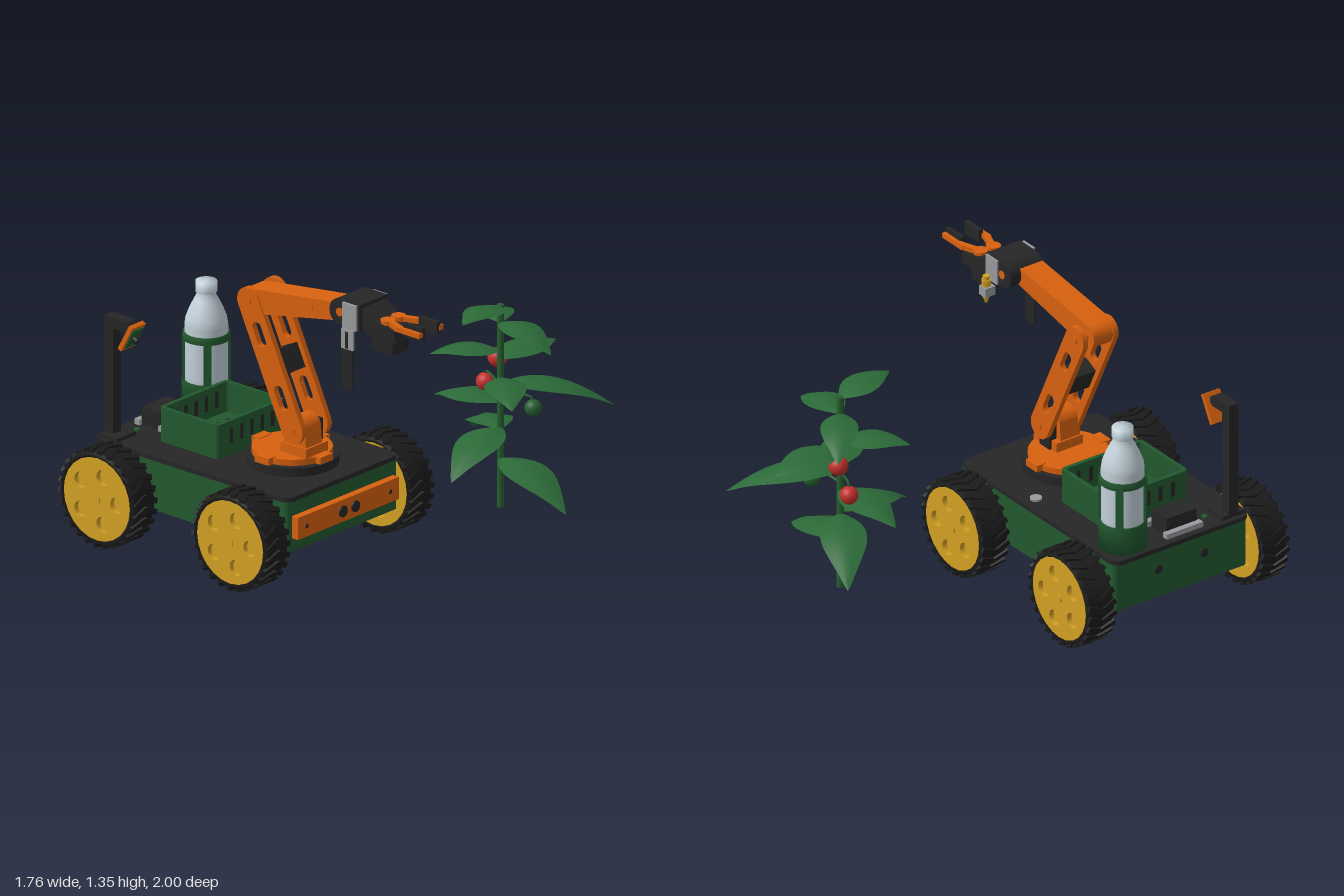
import * as THREE from 'three';
import { mergeGeometries } from 'three/addons/utils/BufferGeometryUtils.js';

const mat = (name, color, side = THREE.FrontSide) => {
  const m = new THREE.MeshStandardMaterial({ color, side });
  m.name = name;
  return m;
};

export function createModel() {
  const green = mat('bodyGreen', 0x22592f), orange = mat('orange', 0xd8610f);
  const black = mat('black', 0x262627), rubber = mat('rubber', 0x1b1b1c);
  const yellow = mat('wheelYellow', 0xd3a023), white = mat('bottleWhite', 0xc2d0d8);
  const grey = mat('metalGrey', 0x98999c), red = mat('fruitRed', 0xc3302b);
  const leafGreen = mat('leafGreen', 0x2b6a38, THREE.DoubleSide);
  const stemGreen = mat('stemGreen', 0x265f30);
  const root = new THREE.Group();
  const CZ = 0.43; // middle plane of the rover

  const add = (name, geo, m, parent = root) => {
    const mesh = new THREE.Mesh(geo, m);
    mesh.name = name;
    parent.add(mesh);
    return mesh;
  };
  const group = (name) => {
    const g = new THREE.Group();
    g.name = name;
    root.add(g);
    return g;
  };
  // box given by its limits on each axis
  const box = (name, m, x0, x1, y0, y1, z0, z1, parent = root) => {
    const b = add(name, new THREE.BoxGeometry(x1 - x0, y1 - y0, z1 - z0), m, parent);
    b.position.set((x0 + x1) / 2, (y0 + y1) / 2, (z0 + z1) / 2);
    return b;
  };
  // cylinder along axis 'x', 'y' or 'z'
  const cyl = (name, m, r, len, x, y, z, axis = 'y', parent = root, seg = 32) => {
    const g = new THREE.CylinderGeometry(r, r, len, seg);
    if (axis === 'z') g.rotateX(Math.PI / 2);
    if (axis === 'x') g.rotateZ(Math.PI / 2);
    const c = add(name, g, m, parent);
    c.position.set(x, y, z);
    return c;
  };
  const roundRect = (x0, x1, y0, y1, r, S = THREE.Shape) => {
    const s = new S();
    s.absarc(x1 - r, y1 - r, r, 0, Math.PI / 2);
    s.absarc(x0 + r, y1 - r, r, Math.PI / 2, Math.PI);
    s.absarc(x0 + r, y0 + r, r, Math.PI, Math.PI * 1.5);
    s.absarc(x1 - r, y0 + r, r, Math.PI * 1.5, Math.PI * 2);
    s.closePath();
    return s;
  };
  const extrude = (shape, depth) =>
    new THREE.ExtrudeGeometry(shape, { depth, bevelEnabled: false, curveSegments: 12 });
  // horizontal slab from an x/z outline
  const slab = (name, m, shape, y0, y1) =>
    add(name, extrude(shape, y1 - y0).rotateX(Math.PI / 2).translate(0, y1, 0), m);
  // round-ended arm link from a to b, with slots along it
  const link = (name, m, a, b, ra, rb, z0, z1, slots = [], parent = root) => {
    const L = Math.hypot(b[0] - a[0], b[1] - a[1]);
    const s = new THREE.Shape();
    s.absarc(L, 0, rb, -Math.PI / 2, Math.PI / 2);
    s.absarc(0, 0, ra, Math.PI / 2, Math.PI * 1.5);
    s.closePath();
    for (const c of slots) s.holes.push(roundRect(c - 0.06, c + 0.06, -0.026, 0.026, 0.0255, THREE.Path));
    const mesh = add(name, extrude(s, z1 - z0), m, parent);
    mesh.position.set(a[0], a[1], z0);
    mesh.rotation.z = Math.atan2(b[1] - a[1], b[0] - a[0]);
    return mesh;
  };

  // chassis and deck
  slab('chassis', green, roundRect(-0.82, 0.345, 0.05, 0.81, 0.03), 0.178, 0.42);
  slab('deck', black, roundRect(-0.835, 0.35, 0.045, 0.815, 0.05), 0.42, 0.442);
  box('bumper', orange, 0.345, 0.382, 0.243, 0.35, 0.09, 0.78);
  for (const z of [0.39, 0.475]) cyl('frontSensor', black, 0.027, 0.012, 0.383, 0.295, z, 'x');
  for (const z of [0.15, 0.72]) cyl('bumperScrew', black, 0.01, 0.006, 0.382, 0.295, z, 'x');
  for (const z of [0.3, 0.56]) cyl('rearPort', black, 0.022, 0.008, -0.82, 0.32, z, 'x');
  cyl('fillerCap', grey, 0.028, 0.012, -0.14, 0.446, 0.115);
  cyl('statusLight', stemGreen, 0.013, 0.012, -0.735, 0.446, 0.625);

  // wheels: tyre with chevron tread, pierced discs on both sides
  const treads = [];
  for (let i = 0; i < 26; i++) for (const s of [-1, 1]) {
    const g = new THREE.BoxGeometry(0.026, 0.016, 0.084);
    g.rotateY(s * 0.42).translate(0, 0.227, s * 0.036).rotateZ((i / 26) * Math.PI * 2);
    treads.push(g);
  }
  const treadGeo = mergeGeometries(treads);
  const tyreGeo = new THREE.LatheGeometry([[0.198, -0.072], [0.218, -0.072], [0.225, -0.06], [0.225, 0.06],
    [0.218, 0.072], [0.198, 0.072], [0.198, -0.072]].map(p => new THREE.Vector2(...p)), 48).rotateX(Math.PI / 2);
  const disc = new THREE.Shape().absarc(0, 0, 0.2, 0, Math.PI * 2);
  for (let i = 0; i < 5; i++) {
    const a = (i * 2 * Math.PI) / 5;
    disc.holes.push(new THREE.Path().absarc(0.12 * Math.cos(a), 0.12 * Math.sin(a), 0.038, 0, Math.PI * 2));
  }
  const discGeo = extrude(disc, 0.025);
  for (const x of [-0.65, 0.16]) for (const s of [-1, 1]) {
    const w = group('wheel');
    w.position.set(x, 0.236, CZ + s * 0.49);
    add('tyre', tyreGeo, rubber, w);
    add('tread', treadGeo, rubber, w);
    add('rimOuter', discGeo, yellow, w).position.z = 0.05;
    add('rimInner', discGeo, yellow, w).position.z = -0.075;
    cyl('rimCore', yellow, 0.199, 0.1, 0, 0, 0, 'z', w);
    cyl('hub', yellow, 0.045, 0.03, 0, 0, -s * 0.085, 'z', w);
    cyl('hubCap', yellow, 0.02, 0.012, 0, 0, s * 0.075, 'z', w);
    cyl('axle', black, 0.02, 0.1, 0, 0, -s * 0.1, 'z', w);
  }

  // open harvest tray with slots
  const rim = roundRect(-0.575, -0.215, 0.195, 0.655, 0.025);
  slab('trayFloor', green, rim, 0.442, 0.462);
  const walls = rim.clone();
  walls.holes = [roundRect(-0.555, -0.235, 0.215, 0.635, 0.015, THREE.Path)];
  slab('trayWalls', green, walls, 0.462, 0.608);
  for (let i = 0; i < 5; i++) {
    const z = 0.285 + i * 0.07;
    box('floorSlot', black, -0.49, -0.3, 0.46, 0.465, z - 0.011, z + 0.011);
    for (const x of [-0.565, -0.225]) box('wallSlot', black, x - 0.012, x + 0.012, 0.5, 0.575, z - 0.011, z + 0.011);
  }

  // bottle in its holder
  const bottle = group('bottle');
  bottle.position.set(-0.708, 0, 0.182);
  const lathe = (name, m, pts) =>
    add(name, new THREE.LatheGeometry(pts.map(p => new THREE.Vector2(...p)), 36), m, bottle);
  lathe('bottleBody', white, [[0, 0.45], [0.1, 0.45], [0.1, 0.6], [0.1, 0.84], [0.095, 0.875], [0.078, 0.92],
    [0.056, 0.965], [0.045, 0.985], [0.043, 1.005]]);
  lathe('bottleCap', white, [[0.043, 1.0], [0.05, 1.0], [0.05, 1.052], [0, 1.052]]);
  lathe('holderCup', green, [[0, 0.442], [0.112, 0.442], [0.112, 0.576], [0.1, 0.576]]);
  lathe('holderRing', green, [[0.1, 0.773], [0.109, 0.773], [0.109, 0.807], [0.1, 0.807]]);
  for (let i = 0; i < 4; i++) {
    const a = Math.PI / 4 + (i * Math.PI) / 2;
    const strap = add('holderStrap', new THREE.BoxGeometry(0.012, 0.22, 0.036), green, bottle);
    strap.position.set(0.104 * Math.cos(a), 0.68, 0.104 * Math.sin(a));
    strap.rotation.y = -a;
  }

  // pump block between two brackets
  box('pump', black, -0.77, -0.655, 0.442, 0.53, 0.385, 0.555);
  for (const x of [-0.8, -0.655]) box('pumpBracket', grey, x, x + 0.032, 0.442, 0.468, 0.365, 0.57);

  // camera mast with a tilted camera
  box('mastFoot', black, -0.81, -0.7, 0.442, 0.46, 0.67, 0.8);
  box('mast', black, -0.81, -0.757, 0.442, 1.025, 0.708, 0.762);
  box('mastArm', black, -0.757, -0.69, 0.972, 1.025, 0.708, 0.762);
  cyl('tiltJoint', black, 0.027, 0.054, -0.692, 0.998, 0.735, 'z');
  const cam = group('camera');
  cam.position.set(-0.668, 0.952, 0.735);
  cam.rotation.z = -0.5;
  box('cameraFrame', orange, -0.011, 0.011, -0.072, 0.072, -0.047, 0.047, cam);
  box('cameraBoard', green, 0.011, 0.017, -0.055, 0.055, -0.036, 0.036, cam);
  cyl('cameraLens', black, 0.015, 0.03, 0.025, 0.0, 0, 'x', cam);

  // turntable
  cyl('turntableBase', black, 0.215, 0.043, 0.035, 0.463, CZ, 'y', root, 48);
  cyl('turntable', orange, 0.185, 0.03, 0.035, 0.499, CZ, 'y', root, 48);
  for (let i = 0; i < 4; i++) {
    const tab = add('turntableTab', new THREE.BoxGeometry(0.05, 0.035, 0.085), orange);
    const a = (i * Math.PI) / 2;
    tab.position.set(0.035 + 0.185 * Math.cos(a), 0.5, CZ + 0.185 * Math.sin(a));
    tab.rotation.y = -a;
  }

  // shoulder, upper arm and forearm
  const shoulder = [0.122, 0.634], elbow = [-0.145, 1.197], wrist = [0.41, 1.288];
  link('shoulderBracket', orange, [0.122, 0.56], shoulder, 0.068, 0.062, 0.4, 0.51);
  box('shoulderFoot', orange, 0.045, 0.2, 0.512, 0.56, 0.37, 0.52);
  box('shoulderServo', black, 0.085, 0.16, 0.512, 0.66, 0.36, 0.4);
  for (const z of [0.33, 0.502]) link('upperArmPlate', orange, shoulder, elbow, 0.065, 0.066, z, z + 0.028, [0.157, 0.463]);
  const servo = add('elbowServo', new THREE.BoxGeometry(0.12, 0.085, 0.144), black);
  servo.position.set(-0.012, 0.915, CZ);
  servo.rotation.z = Math.atan2(elbow[1] - shoulder[1], elbow[0] - shoulder[0]);
  for (const [x, y] of [shoulder, elbow]) cyl('jointPin', orange, 0.018, 0.212, x, y, CZ, 'z');
  link('forearm', orange, elbow, wrist, 0.06, 0.042, 0.395, 0.523);
  const A = Math.atan2(wrist[1] - elbow[1], wrist[0] - elbow[0]);
  const groove = add('forearmGroove', extrude(roundRect(-0.11, 0.11, -0.022, 0.022, 0.021), 0.003), orange);
  groove.position.set(0.135, 1.248, 0.523);
  groove.rotation.z = A;

  // wrist
  cyl('wristJoint', black, 0.064, 0.19, wrist[0], wrist[1], CZ, 'z');
  cyl('wristPin', orange, 0.02, 0.2, wrist[0], wrist[1], CZ, 'z');
  box('wristBlock', black, 0.41, 0.53, 1.225, 1.35, 0.335, 0.525);
  for (const z of [0.325, 0.53]) box('wristBracket', grey, 0.437, 0.522, 1.225, 1.348, z, z + 0.012);
  box('probeHolder', grey, 0.44, 0.512, 1.13, 1.225, 0.54, 0.552);
  box('probeStripe', black, 0.468, 0.484, 1.135, 1.215, 0.551, 0.555);
  const blade = new THREE.Shape([[0.442, 1.13], [0.442, 0.955], [0.476, 0.925], [0.51, 0.955], [0.51, 1.13]]
    .map(p => new THREE.Vector2(...p)));
  add('soilProbe', extrude(blade, 0.01), black).position.z = 0.541;
  box('nozzleClamp', grey, 0.45, 0.5, 1.17, 1.215, 0.27, 0.327);
  cyl('nozzleBody', yellow, 0.016, 0.11, 0.476, 1.215, 0.293);
  cyl('nozzleNut', yellow, 0.024, 0.03, 0.476, 1.235, 0.293, 'y', root, 6);
  add('nozzleTip', new THREE.CylinderGeometry(0.016, 0.006, 0.03, 16), yellow).position.set(0.476, 1.145, 0.293);

  // gripper
  const neck = new THREE.Shape([[0.52, 1.23], [0.52, 1.34], [0.6, 1.285], [0.72, 1.265], [0.735, 1.21], [0.56, 1.21]]
    .map(p => new THREE.Vector2(...p)).reverse());
  add('gripperBody', extrude(neck, 0.165), black).position.z = 0.342;
  box('gripperServo', black, 0.565, 0.69, 1.132, 1.225, 0.37, 0.48);
  for (const s of [-1, 1]) {
    const f = group('gripperFinger');
    f.position.set(0, 1.283, CZ - 0.005);
    cyl('fingerGear', orange, 0.034, 0.024, 0.645, 0, s * 0.036, 'y', f, 14);
    const knuckle = box('fingerLink', orange, -0.055, 0.055, -0.012, 0.012, -0.015, 0.015, f);
    knuckle.position.set(0.69, 0, s * 0.05);
    knuckle.rotation.y = -s * 0.35;
    const tip = box('fingerBar', orange, -0.075, 0.075, -0.012, 0.012, -0.014, 0.014, f);
    tip.position.set(0.8, 0, s * 0.07);
    const pad = box('fingerPad', black, 0.762, 0.874, -0.032, 0.032, -0.011, 0.011, f);
    pad.position.z = s * 0.053;
  }

  // plant: stem, arching leaves and fruit
  const SX = 0.376, SZ = -0.608;
  cyl('stem', stemGreen, 0.017, 0.985, SX, 0.4925, SZ, 'y', root, 12);
  // base height, tip x, y, z, half width
  const leaves = [
    [0.24, 0.84, 0.1, -0.535, 0.105], [0.39, 0.475, 0.27, -0.16, 0.1], [0.38, 0, 0.22, -0.845, 0.1],
    [0.51, 0, 0.46, -0.575, 0.1], [0.6, 0.72, 0.47, -1, 0.1], [0.63, 0.65, 0.6, -0.38, 0.09],
    [0.72, 0.365, 0.7, -1, 0.095], [0.76, 0.155, 0.755, -0.375, 0.085], [0.9, 0.71, 0.83, -0.58, 0.085],
    [0.9, 0.11, 0.82, -0.82, 0.08], [0.98, 0.43, 0.99, -0.29, 0.08]];
  for (const [y0, tx, ty, tz, w] of leaves) {
    const dx = tx - SX, dz = tz - SZ, L = Math.hypot(dx, dz);
    const g = new THREE.PlaneGeometry(1, 2, 14, 4);
    const p = g.attributes.position;
    for (let i = 0; i < p.count; i++) {
      const u = p.getX(i) + 0.5, v = p.getY(i);
      const half = 0.007 + w * Math.pow(Math.sin(Math.PI * Math.pow(u, 0.8)), 1.15) * (u < 1 ? 1 : 0);
      const side = v * (u > 0.999 ? 0 : half);
      const y = y0 + (ty - y0) * u * u + 0.14 * u * (1 - u) - Math.abs(side) * 0.22;
      p.setXYZ(i, SX + dx * u - (dz / L) * side, y, SZ + dz * u + (dx / L) * side);
    }
    g.computeVertexNormals();
    add('leaf', g, leafGreen);
  }
  for (const [x, y, z, r, m] of [[0.295, 0.687, -0.68, 0.046, red], [0.233, 0.557, -0.665, 0.043, red],
    [0.533, 0.508, -0.655, 0.04, stemGreen]]) {
    add('fruit', new THREE.SphereGeometry(r, 24, 16), m).position.set(x, y, z);
    const path = new THREE.QuadraticBezierCurve3(new THREE.Vector3(SX, y + 0.03, SZ),
      new THREE.Vector3(x, y + 0.08, z), new THREE.Vector3(x, y + r * 0.9, z));
    add('fruitStalk', new THREE.TubeGeometry(path, 8, 0.006, 6), stemGreen);
  }
  return root;
}
